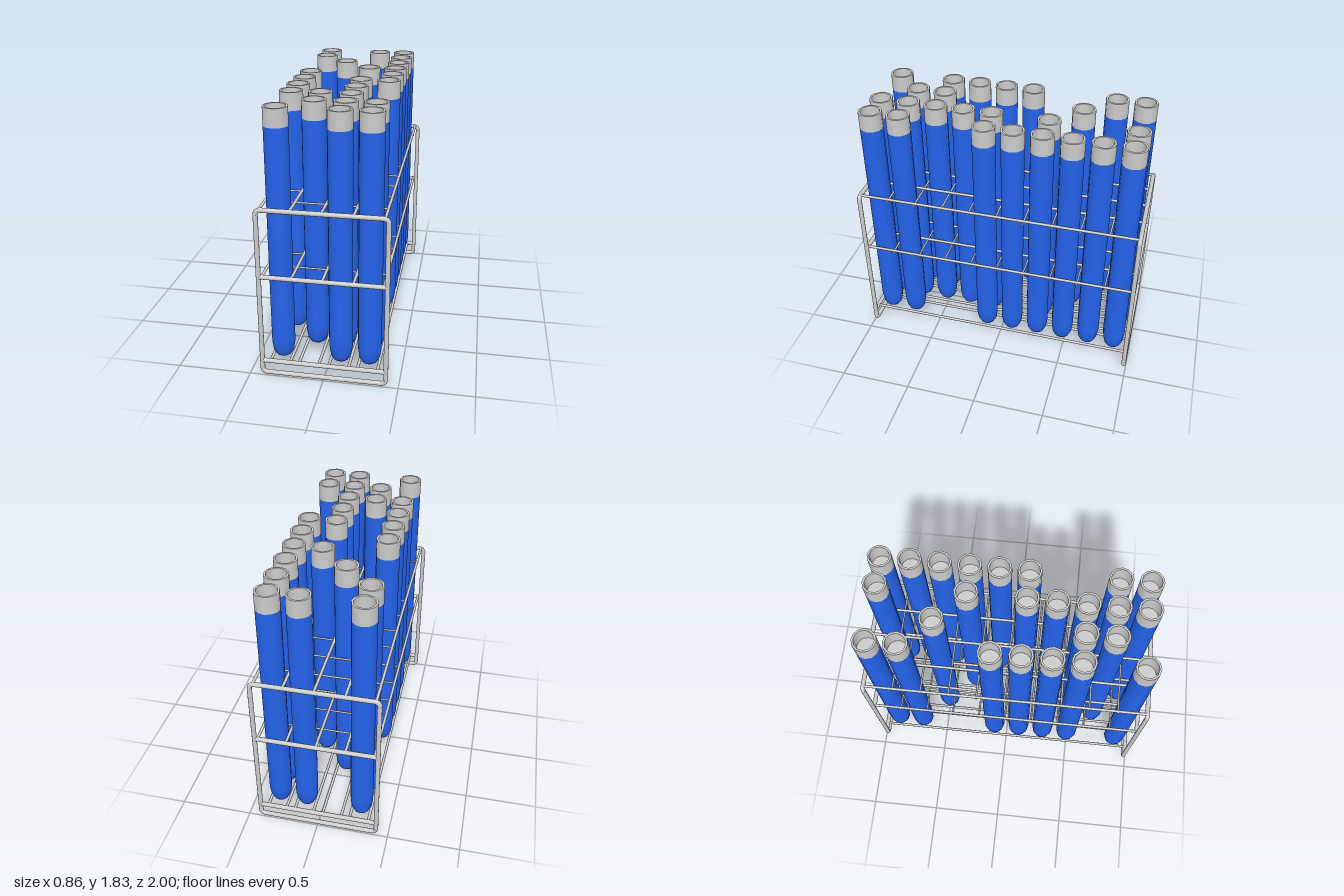
import * as THREE from 'three';

const steel = new THREE.MeshStandardMaterial({ color: 0xcccccc });
const glass = new THREE.MeshStandardMaterial({ color: 0xcccccc, side: THREE.DoubleSide });
const blue = new THREE.MeshStandardMaterial({ color: 0x2563eb });

// Straight wire between two points
function rod(parent, name, a, b, r) {
  const from = new THREE.Vector3(...a), to = new THREE.Vector3(...b);
  const dir = to.clone().sub(from);
  const mesh = new THREE.Mesh(new THREE.CylinderGeometry(r, r, dir.length(), 10), steel);
  mesh.position.copy(from).add(to).multiplyScalar(0.5);
  mesh.quaternion.setFromUnitVectors(new THREE.Vector3(0, 1, 0), dir.normalize());
  mesh.name = name;
  parent.add(mesh);
}

// Rounded rectangular end loop with two crossbars
function endFrame(z, name) {
  const g = new THREE.Group();
  g.name = name;
  const X = 0.415, Y0 = 0.016, Y1 = 1.194, c = 0.03, r = 0.016;
  for (const s of [-1, 1]) rod(g, 'post', [s * X, Y0 + c, 0], [s * X, Y1 - c, 0], r);
  for (const y of [Y0, Y1]) rod(g, 'rail', [-X + c, y, 0], [X - c, y, 0], r);
  for (const y of [0.105, 0.73]) rod(g, 'crossbar', [-X, y, 0], [X, y, 0], r);
  const corners = [[X - c, Y1 - c], [c - X, Y1 - c], [c - X, Y0 + c], [X - c, Y0 + c]];
  corners.forEach(([x, y], i) => {
    const bend = new THREE.Mesh(new THREE.TorusGeometry(c, r, 10, 6, Math.PI / 2), steel);
    bend.position.set(x, y, 0);
    bend.rotation.z = i * Math.PI / 2;
    bend.name = 'cornerBend';
    g.add(bend);
  });
  g.position.z = z;
  return g;
}

const lathe = (pts) => new THREE.LatheGeometry(pts.map(([x, y]) => new THREE.Vector2(x, y)), 12);

export function createModel() {
  const model = new THREE.Group();
  const columns = [-0.292, -0.1, 0.1, 0.292];
  const END = 0.984;

  // Rack
  const rack = new THREE.Group();
  rack.name = 'rack';
  model.add(rack);
  rack.add(endFrame(END, 'frontFrame'), endFrame(-END, 'backFrame'));
  for (const y of [0.735, 1.197]) {
    for (const x of [-0.393, -0.2, 0, 0.2, 0.393])
      rod(rack, 'lengthwiseWire', [x, y, -END], [x, y, END], 0.01);
    for (let i = -4; i <= 4; i++)
      rod(rack, 'crossWire', [-0.4, y - 0.02, i * 0.196], [0.4, y - 0.02, i * 0.196], 0.007);
  }
  // A pair of floor wires supports each column
  for (const x of columns) for (const s of [-1, 1])
    rod(rack, 'floorWire', [x + s * 0.066, 0.105, -END], [x + s * 0.066, 0.105, END], 0.01);

  // Test tubes: blue body with a rounded end, open clear collar above
  const bodyGeo = lathe([[0, 0.095], [0.03, 0.1], [0.055, 0.118], [0.07, 0.15], [0.079, 0.21], [0.08, 0.24], [0.08, 1.71]]);
  const wallGeo = lathe([[0.08, 1.71], [0.08, 1.83]]);
  const rimGeo = lathe([[0.08, 1.83], [0.066, 1.83]]);
  const innerGeo = lathe([[0.066, 1.83], [0.066, 1.71]]);
  const floorGeo = lathe([[0.066, 1.71], [0, 1.71]]);

  // Filled slots per row, from back to front
  const rows = ['023', '03', '13', '23', '03', '023', '02', '012', '123', '023'];
  rows.forEach((row, i) => {
    for (const col of row) {
      const tube = new THREE.Group();
      tube.name = 'testTube';
      const body = new THREE.Mesh(bodyGeo, blue);
      body.name = 'tubeBody';
      tube.add(body);
      for (const [name, geo] of [['collarWall', wallGeo], ['collarRim', rimGeo], ['collarInside', innerGeo], ['collarFloor', floorGeo]]) {
        const part = new THREE.Mesh(geo, glass);
        part.name = name;
        tube.add(part);
      }
      tube.position.set(columns[col], 0, (i - 4.5) * 0.195);
      model.add(tube);
    }
  });
  return model;
}
